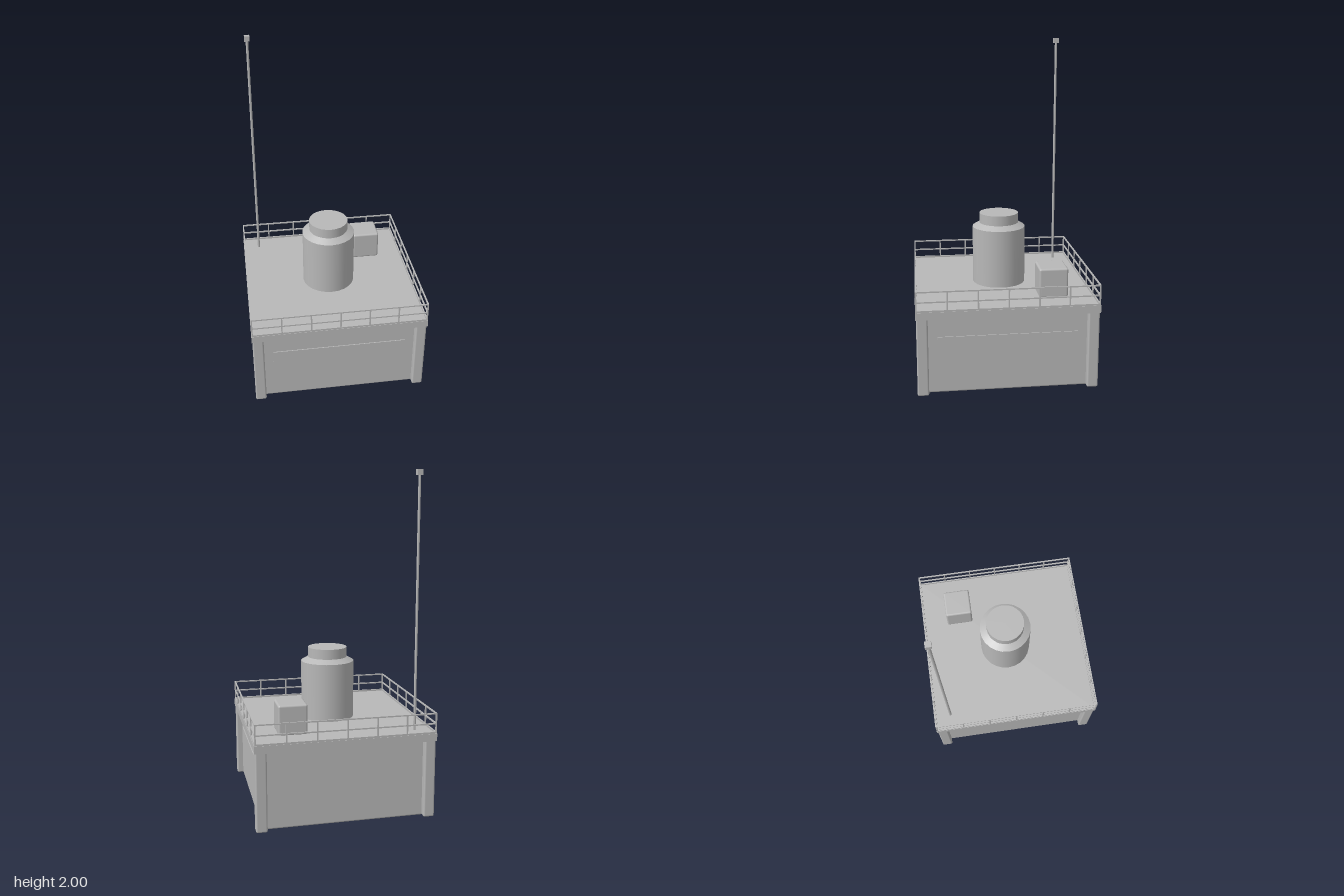
import * as THREE from 'three';
import { RoundedBoxGeometry } from 'three/addons/geometries/RoundedBoxGeometry.js';

export function createModel() {
  const model = new THREE.Group();
  const grey = new THREE.MeshStandardMaterial({ color: 0xb8b8b8 });
  grey.name = 'concrete grey';

  function add(name, geometry, x, y, z, parent = model) {
    const mesh = new THREE.Mesh(geometry, grey);
    mesh.name = name;
    mesh.position.set(x, y, z);
    parent.add(mesh);
    return mesh;
  }
  const box = (w, h, d) => new THREE.BoxGeometry(w, h, d);

  // Main block and the flat roof
  add('walls', new RoundedBoxGeometry(0.976, 0.472, 0.976, 2, 0.01), 0, 0.236, 0);
  add('roofSlab', box(1.06, 0.044, 1.06), 0, 0.485, 0);

  // Rounded corner pillars
  for (const sx of [-1, 1]) {
    for (const sz of [-1, 1]) {
      add('cornerPillar', new RoundedBoxGeometry(0.066, 0.472, 0.066, 2, 0.01), sx * 0.493, 0.236, sz * 0.493);
    }
  }

  // Long windows on the front and left walls, drip strip on the front only
  add('frontWindow', box(0.81, 0.135, 0.009), 0, 0.275, 0.489);
  add('sideWindow', box(0.009, 0.135, 0.81), 0.489, 0.275, 0);
  add('dripStrip', box(0.81, 0.007, 0.009), 0, 0.441, 0.49);

  // Railing: the same run of rails and posts on each side
  for (let side = 0; side < 4; side++) {
    const railing = new THREE.Group();
    railing.name = 'railing';
    railing.rotation.y = side * Math.PI / 2;
    model.add(railing);
    add('toeBoard', box(1.056, 0.012, 0.008), 0, 0.512, 0.524, railing);
    for (const y of [0.566, 0.626]) add('rail', box(1.056, 0.008, 0.008), 0, y, 0.524, railing);
    for (let i = 0; i < 6; i++) {
      add('post', box(0.008, 0.12, 0.008), -0.524 + i * 0.1747, 0.567, 0.524, railing);
    }
  }

  // Water tank: drum, sloped shoulder and neck
  add('tankDrum', new THREE.CylinderGeometry(0.163, 0.163, 0.353, 24), 0, 0.6835, 0);
  add('tankShoulder', new THREE.CylinderGeometry(0.12, 0.163, 0.024, 24, 1, true), 0, 0.872, 0);
  add('tankNeck', new THREE.CylinderGeometry(0.12, 0.12, 0.085, 24), 0, 0.9025, 0);

  // Rooftop unit
  add('roofUnit', new RoundedBoxGeometry(0.172, 0.178, 0.172, 3, 0.012), 0.284, 0.594, -0.284);

  // Mast with a small block at the tip
  add('mast', new THREE.CylinderGeometry(0.008, 0.008, 1.47, 8), -0.427, 1.24, -0.427);
  add('mastTip', box(0.032, 0.032, 0.032), -0.427, 1.984, -0.427);

  return model;
}
